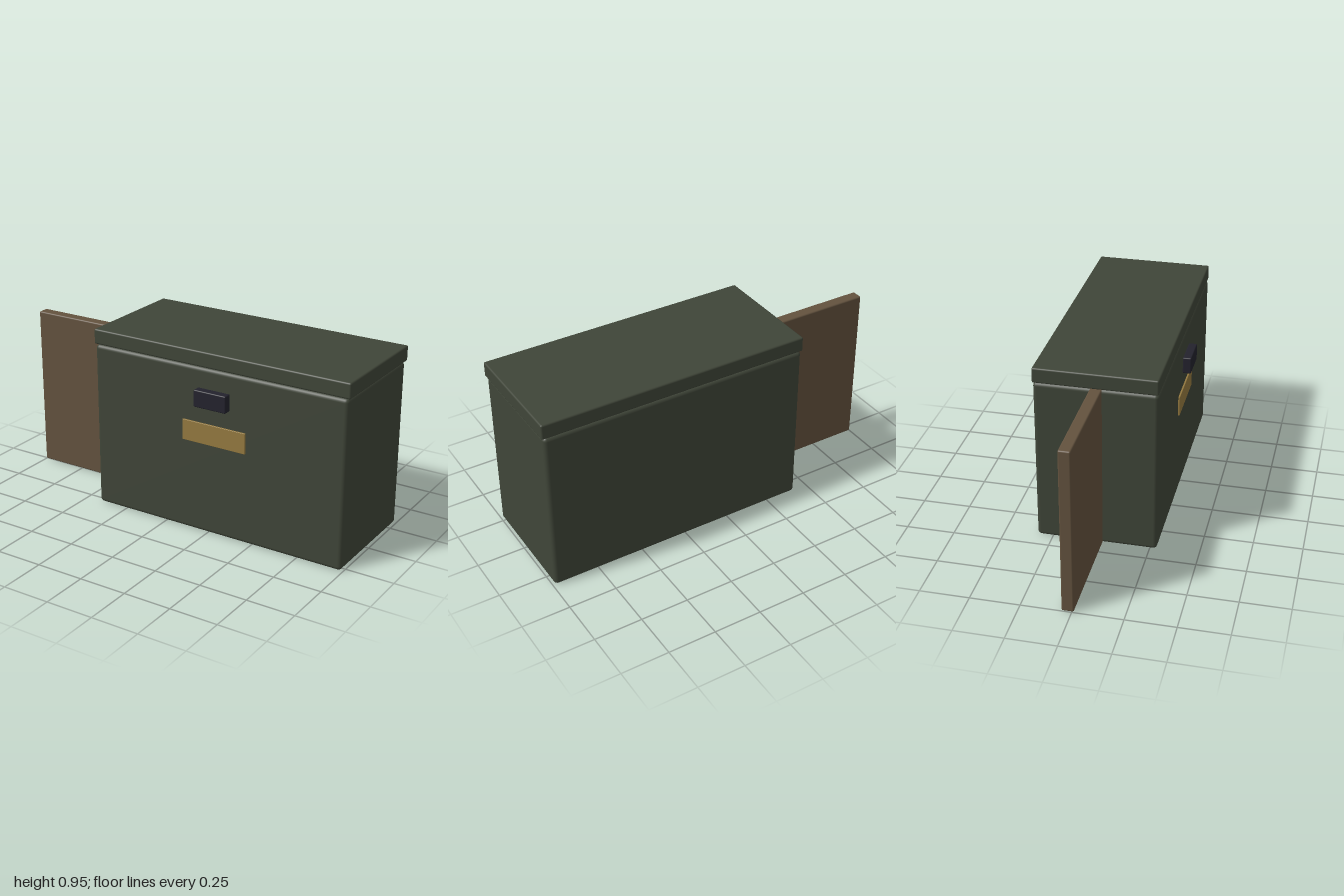
import * as THREE from 'three';
import { RoundedBoxGeometry } from 'three/addons/geometries/RoundedBoxGeometry.js';

function material(name, color) {
  const m = new THREE.MeshStandardMaterial({ color });
  m.name = name;
  return m;
}

export function createModel() {
  const green = material('olive green', 0x3f4538);
  const wood = material('brown wood', 0x63523e);
  const brass = material('brass', 0x94793f);
  const dark = material('dark metal', 0x23222d);
  const group = new THREE.Group();
  group.name = 'box';

  // Rounded block spanning the given minimum and maximum corners
  function block(name, mat, min, max, radius) {
    const size = max.map((v, i) => v - min[i]);
    const geo = new RoundedBoxGeometry(...size, 3, radius);
    const mesh = new THREE.Mesh(geo, mat);
    mesh.name = name;
    mesh.position.set(...max.map((v, i) => (v + min[i]) / 2));
    group.add(mesh);
  }

  // Case and lid, with a fine seam between them
  block('caseBody', green, [-0.418, 0, -0.33], [0.99, 0.871, 0.286], 0.02);
  block('lid', green, [-0.424, 0.873, -0.332], [1, 0.952, 0.286], 0.009);

  // Wooden panel running through the case and out of its right side
  block('sidePanel', wood, [-1, 0.002, -0.05], [0.79, 0.87, 0.01], 0.008);

  // Fittings on the front
  block('latch', dark, [0.196, 0.683, 0.289], [0.375, 0.771, 0.333], 0.006);
  block('namePlate', brass, [0.108, 0.481, 0.285], [0.462, 0.588, 0.295], 0.002);

  return group;
}
